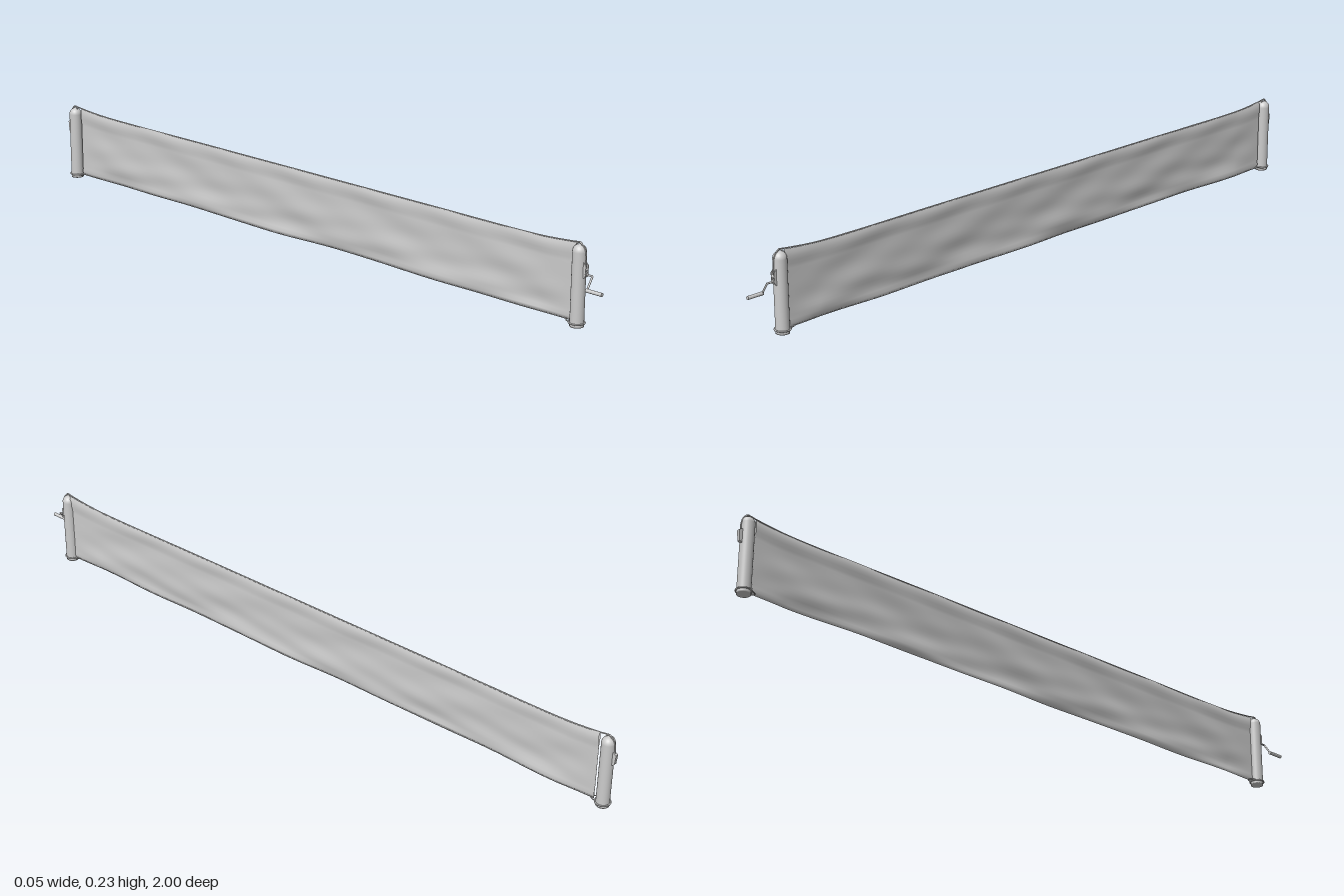
import * as THREE from 'three';

const mat = new THREE.MeshStandardMaterial({ color: 0xcccccc });
const clothMat = new THREE.MeshStandardMaterial({ color: 0xcccccc, side: THREE.DoubleSide });
const FRONT = 0.912, BACK = -0.972;
const V = (x, y, z) => new THREE.Vector3(x, y, z);

function add(parent, name, geo, x = 0, y = 0, z = 0, material = mat) {
  const m = new THREE.Mesh(geo, material);
  m.name = name;
  m.position.set(x, y, z);
  parent.add(m);
  return m;
}

// Straight-run tube through corner points
function rod(points, radius, sides = 10) {
  const path = new THREE.CurvePath();
  for (let i = 1; i < points.length; i++) path.add(new THREE.LineCurve3(points[i - 1], points[i]));
  return new THREE.TubeGeometry(path, 60, radius, sides, false);
}

// Round post with domed cap and ground collar
function post(name, z) {
  const g = new THREE.Group();
  g.name = name;
  const R = 0.0185, profile = [[0, 0], [R, 0], [R, 0.004], [R, 0.1], [R, 0.199]];
  for (let i = 1; i <= 8; i++) {
    const a = (i / 8) * Math.PI / 2;
    profile.push([Math.max(R * Math.cos(a), 0), 0.199 + 0.019 * Math.sin(a)]);
  }
  add(g, 'postShaft', new THREE.LatheGeometry(profile.map(p => new THREE.Vector2(...p)), 32));
  add(g, 'postCollar', new THREE.TorusGeometry(0.0205, 0.0022, 8, 32), 0, 0.01).rotation.x = Math.PI / 2;
  g.position.z = z;
  return g;
}

// Thin closed cloth: hemmed band at the top, soft folds that grow toward the bottom
function netGeometry() {
  const nz = 240, half = 20;
  const geo = new THREE.PlaneGeometry(1, 1, nz, half * 2);
  const p = geo.attributes.position;
  const z0 = 0.9, z1 = -0.947;
  for (let j = 0; j <= half * 2; j++) {
    const t = j <= half ? j / half : 2 - j / half;   // 0 top, 1 bottom
    const side = j <= half ? 1 : -1;
    for (let i = 0; i <= nz; i++) {
      const u = i / nz, z = z0 + (z1 - z0) * u;
      const end = Math.min(u, 1 - u);
      const ease = Math.min(1, end / 0.06);
      const rise = 0.008 * (1 - ease) ** 2;
      const top = 0.213 + rise;
      const bottom = 0.009 + 0.0012 * Math.sin(z * 9) * ease;
      const y = top + (bottom - top) * t;
      const thick = (t === 0 || t === 1) ? 0 : t < 0.16 ? 0.0038 : t > 0.94 ? 0.0024 : 0.0015;
      const fold = ease * (
        0.0026 * t * Math.sin(z * 7 + y * 45)
        + 0.0022 * t * t * Math.sin(z * 13 - y * 90 + 1)
        + 0.0008 * Math.sin(z * 23 + y * 60));
      p.setXYZ(j * (nz + 1) + i, 0.003 + fold + side * thick, y, z);
    }
  }
  geo.computeVertexNormals();
  return geo;
}

export function createModel() {
  const model = new THREE.Group();
  model.name = 'courtNet';
  model.add(post('frontPost', FRONT), post('backPost', BACK));
  add(model, 'net', netGeometry(), 0, 0, 0, clothMat);

  // Headline cable over both caps and down the outer faces
  const cable = new THREE.CatmullRomCurve3([
    V(0, 0.15, FRONT + 0.021), V(0, 0.198, FRONT + 0.020), V(0, 0.216, FRONT + 0.011),
    V(0, 0.2225, FRONT - 0.002), V(0.001, 0.2205, FRONT - 0.024), V(0.003, 0.213, FRONT - 0.12),
    V(0.003, 0.212, 0.4), V(0.003, 0.212, 0), V(0.003, 0.212, -0.4),
    V(0.003, 0.213, BACK + 0.12), V(0.001, 0.2205, BACK + 0.024), V(0, 0.2225, BACK + 0.002),
    V(0, 0.216, BACK - 0.011), V(0, 0.198, BACK - 0.020), V(0, 0.15, BACK - 0.021),
  ]);
  add(model, 'headlineCable', new THREE.TubeGeometry(cable, 360, 0.0018, 8));

  // Guide wheels on the caps
  for (const z of [FRONT, BACK])
    add(model, 'capPulley', new THREE.TorusGeometry(0.008, 0.002, 8, 24), 0, 0.2155, z).rotation.y = Math.PI / 2;

  // Ties holding the net corners to the posts
  for (const [z, s] of [[FRONT, -1], [BACK, 1]]) {
    const tie = new THREE.CatmullRomCurve3([
      V(-0.012, 0.012, z + s * 0.014), V(-0.008, 0.011, z + s * 0.026), V(0.003, 0.012, z + s * 0.034),
      V(0.010, 0.012, z + s * 0.026), V(0.012, 0.012, z + s * 0.014)]);
    add(model, 'bottomTie', new THREE.TubeGeometry(tie, 24, 0.0015, 6));
  }

  // Winch: cheeks, drum and cranked handle on the front post
  const winch = new THREE.Group();
  winch.name = 'winch';
  const cheek = new THREE.Shape();
  cheek.moveTo(0, 0.131);
  cheek.lineTo(0.007, 0.137);
  cheek.lineTo(0.009, 0.166);
  cheek.lineTo(0, 0.176);
  for (const x of [-0.0065, 0.0045]) {
    const geo = new THREE.ExtrudeGeometry(cheek, { depth: 0.002, bevelEnabled: false });
    geo.rotateY(-Math.PI / 2);
    add(winch, 'winchCheek', geo, x + 0.002, 0, FRONT + 0.0165);
  }
  add(winch, 'winchDrum', new THREE.CylinderGeometry(0.005, 0.005, 0.010, 16), 0, 0.156, FRONT + 0.020).rotation.z = Math.PI / 2;
  add(winch, 'crankHub', new THREE.CylinderGeometry(0.006, 0.006, 0.008, 16), 0, 0.143, FRONT + 0.021).rotation.x = Math.PI / 2;
  add(winch, 'crank', rod([V(0, 0.143, FRONT + 0.018), V(0, 0.143, 0.954), V(-0.022, 0.111, 0.954), V(-0.022, 0.111, 0.97)], 0.0026));
  add(winch, 'crankGrip', new THREE.CylinderGeometry(0.005, 0.005, 0.048, 16), -0.022, 0.111, 0.976).rotation.x = Math.PI / 2;
  model.add(winch);

  // Cable cleat on the back post
  const cleat = new THREE.Shape();
  cleat.moveTo(0, 0.138);
  cleat.lineTo(0.0075, 0.142);
  cleat.lineTo(0.0105, 0.172);
  cleat.lineTo(0, 0.178);
  const cleatGeo = new THREE.ExtrudeGeometry(cleat, { depth: 0.010, bevelEnabled: false });
  cleatGeo.rotateY(Math.PI / 2);
  add(model, 'cableCleat', cleatGeo, -0.005, 0, BACK - 0.0175);
  return model;
}
